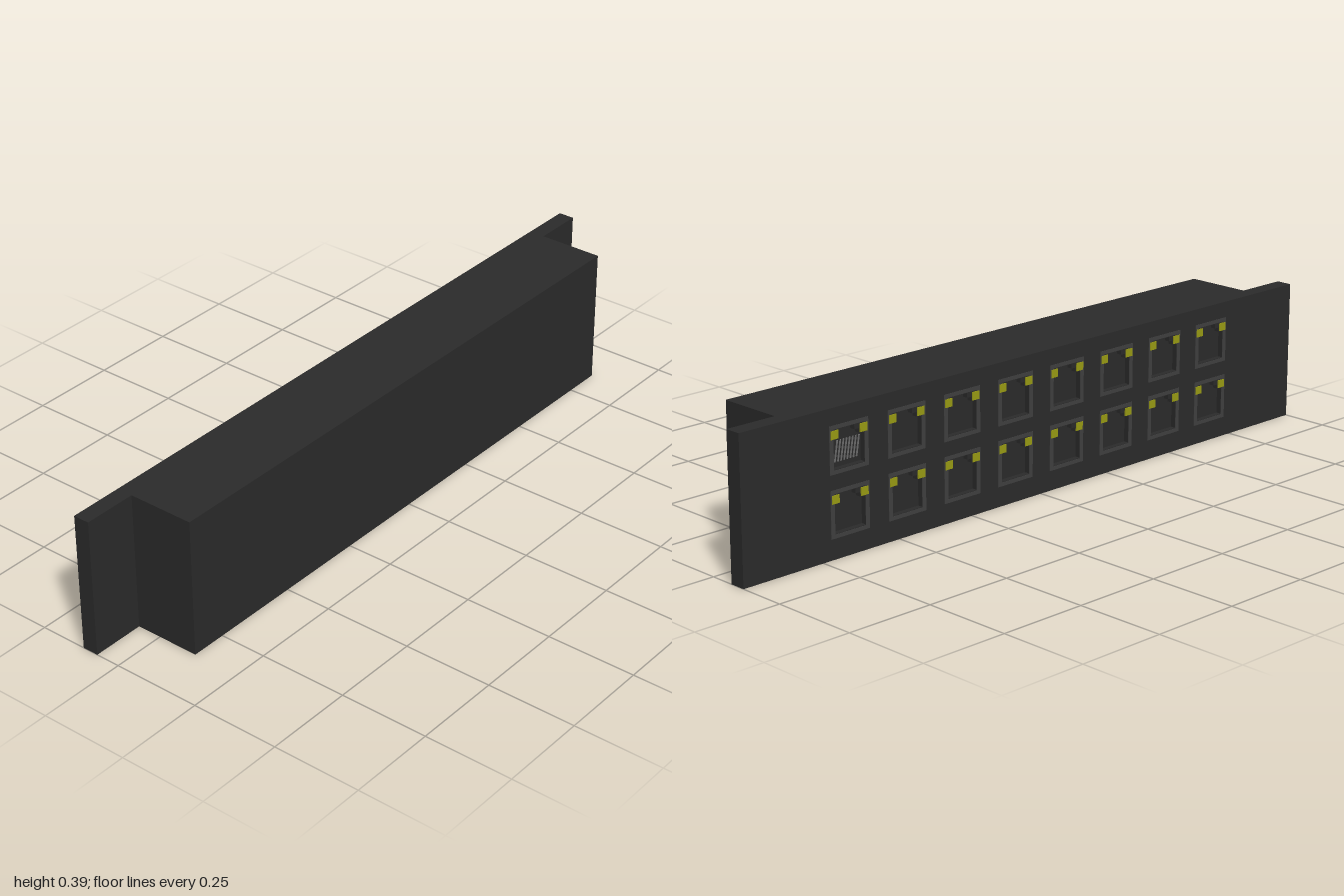
import * as THREE from 'three';

const FACE = -0.1155;   // x of the panel's outer face
const BACK = -0.07;     // x where the panel meets the housing
const DEPTH = 0.015;    // depth of the sockets
const HEIGHT = 0.39;

const paint = (color) => new THREE.MeshStandardMaterial({ color });
const black = paint(0x2b2b2b);
const trim = paint(0x404040);
const lamp = paint(0x9a9c14);
const metal = paint(0x777777);

function add(parent, name, geometry, material, x = 0, y = 0, z = 0) {
  const mesh = new THREE.Mesh(geometry, material);
  mesh.name = name;
  mesh.position.set(x, y, z);
  parent.add(mesh);
  return mesh;
}

// Outline drawn as (z, y), for pieces that are extruded towards -x
function outline(points, z = 0, y = 0, Type = THREE.Shape) {
  return new Type(points.map(([a, b]) => new THREE.Vector2(a + z, b + y)));
}

const rect = (w, h) => [[-w, -h], [w, -h], [w, h], [-w, h]];

function extrude(shape, depth) {
  const g = new THREE.ExtrudeGeometry(shape, { depth, bevelEnabled: false });
  return g.rotateY(-Math.PI / 2);
}

// Socket opening with a stepped notch for the plug's latch
const opening = [
  [-0.05, -0.051], [0.05, -0.051], [0.05, 0.026], [0.033, 0.026],
  [0.033, 0.038], [0.018, 0.038], [0.018, 0.051], [-0.018, 0.051],
  [-0.018, 0.038], [-0.033, 0.038], [-0.033, 0.026], [-0.05, 0.026],
];

export function createModel() {
  const model = new THREE.Group();
  model.name = 'patchPanel';

  // Socket centres: two rows of eight
  const sockets = [];
  for (const y of [0.2825, 0.1175]) {
    for (let i = 0; i < 8; i++) sockets.push({ y, z: (i - 3.5) * 0.189 });
  }

  // Housing behind the panel
  add(model, 'housing', new THREE.BoxGeometry(0.187, HEIGHT, 1.704), black,
    BACK + 0.0935, HEIGHT / 2, -0.002);

  // Panel: solid rear layer, and a front layer pierced by the sockets
  const rear = BACK - FACE - DEPTH;
  add(model, 'panelRear', new THREE.BoxGeometry(rear, HEIGHT, 2), black,
    BACK - rear / 2, HEIGHT / 2, 0);
  const face = outline(rect(1, HEIGHT / 2), 0, HEIGHT / 2);
  for (const s of sockets) face.holes.push(outline(opening, s.z, s.y, THREE.Path));
  add(model, 'panelFace', extrude(face, DEPTH), black, FACE + DEPTH);

  // Shared socket parts
  const frameShape = outline(rect(0.0625, 0.0625));
  frameShape.holes.push(outline(rect(0.05, 0.0525), 0, 0, THREE.Path));
  const frameGeometry = extrude(frameShape, 0.0012);
  const lampGeometry = new THREE.BoxGeometry(0.004, 0.022, 0.024);

  sockets.forEach((s, i) => {
    const socket = new THREE.Group();
    socket.name = `socket${i + 1}`;
    socket.position.set(FACE, s.y, s.z);
    add(socket, 'socketFrame', frameGeometry, trim);
    for (const side of [-1, 1]) {
      add(socket, 'statusLamp', lampGeometry, lamp, -0.0005, 0.0385, side * 0.047);
    }
    model.add(socket);
  });

  // Spring contacts in the first socket
  const contacts = new THREE.Group();
  contacts.name = 'contacts';
  contacts.position.set(FACE, sockets[0].y, sockets[0].z);
  for (let i = 0; i < 8; i++) {
    const pin = add(contacts, 'contactPin', new THREE.BoxGeometry(0.002, 0.06, 0.004), metal,
      0.008, -0.008, (i - 3.5) * 0.01);
    pin.rotation.z = 0.18;
  }
  model.add(contacts);

  return model;
}
